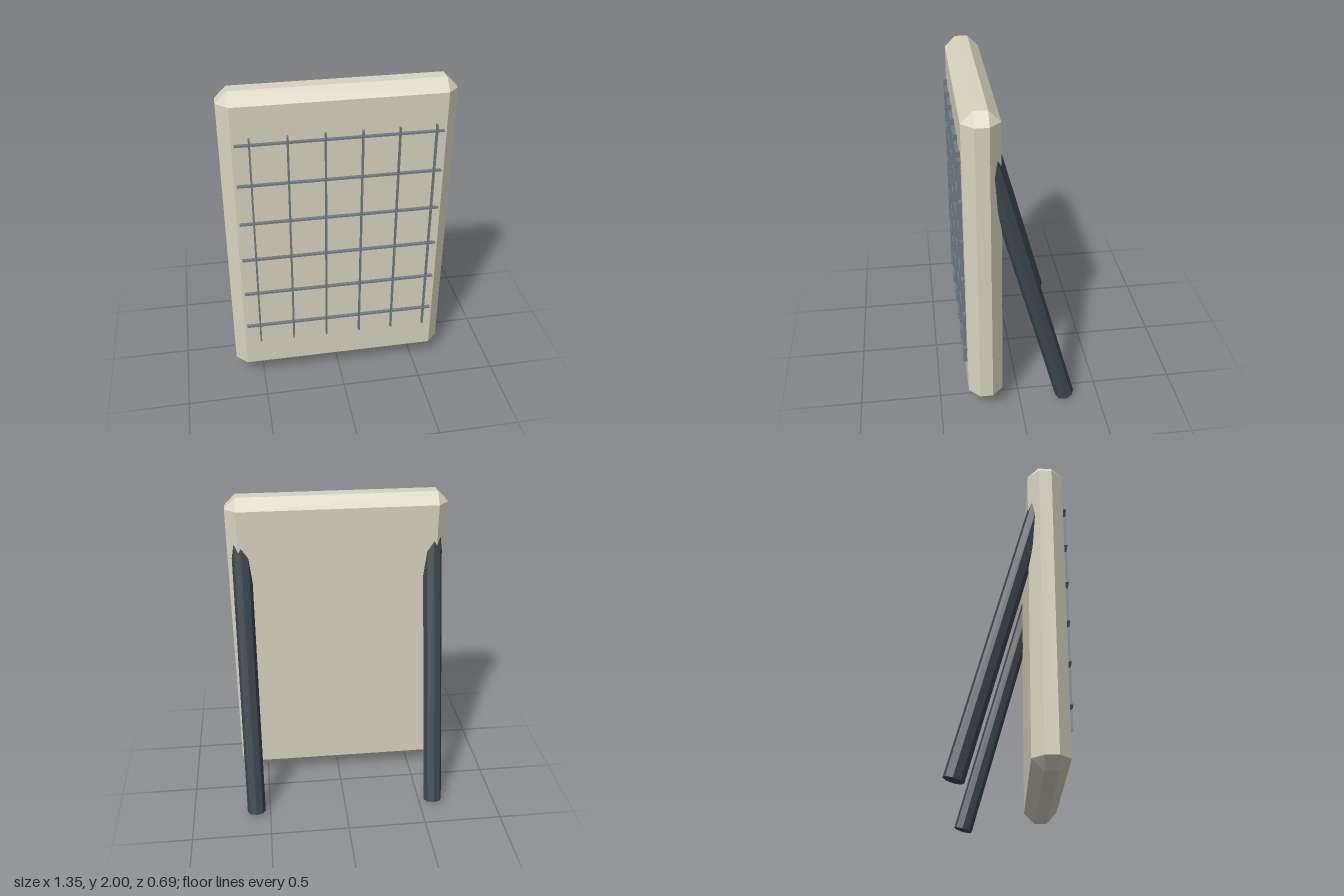
import * as THREE from 'three';
import { ConvexGeometry } from 'three/addons/geometries/ConvexGeometry.js';

function material(name, color) {
  const m = new THREE.MeshStandardMaterial({ color });
  m.name = name;
  return m;
}

// Box with flat chamfers on every edge and triangular corners
function chamferedBox(w, h, d, c) {
  const X = w / 2, Y = h / 2, Z = d / 2, points = [];
  for (const sx of [-1, 1]) for (const sy of [-1, 1]) for (const sz of [-1, 1]) {
    points.push(
      new THREE.Vector3(sx * X, sy * (Y - c), sz * (Z - c)),
      new THREE.Vector3(sx * (X - c), sy * Y, sz * (Z - c)),
      new THREE.Vector3(sx * (X - c), sy * (Y - c), sz * Z));
  }
  return new ConvexGeometry(points);
}

export function createModel() {
  const model = new THREE.Group();
  model.name = 'standingBoard';
  const cream = material('cream', 0xd8d4bf);
  const slate = material('darkSlate', 0x3d474e);
  const steel = material('steelGrey', 0x717c86);

  function add(name, geometry, mat, x, y, z) {
    const mesh = new THREE.Mesh(geometry, mat);
    mesh.name = name;
    mesh.position.set(x, y, z);
    model.add(mesh);
    return mesh;
  }

  // Upright board
  add('board', chamferedBox(1.35, 1.938, 0.212, 0.067), cream, 0, 1.031, 0.218);

  // Two octagonal rear legs, leaning into the board
  const tilt = 0.267, length = 1.86;
  const legGeometry = new THREE.CylinderGeometry(0.059, 0.059, length, 8).toNonIndexed();
  legGeometry.computeVertexNormals();
  for (const side of [-1, 1]) {
    const leg = add(side > 0 ? 'leftLeg' : 'rightLeg', legGeometry, slate, side * 0.59,
      0.016 + Math.cos(tilt) * length / 2, -0.289 + Math.sin(tilt) * length / 2);
    leg.rotation.x = tilt;
  }

  // Grid of thin raised bars on the front
  const upright = new THREE.BoxGeometry(0.01, 1.435, 0.03);
  const crossbar = new THREE.BoxGeometry(1.184, 0.01, 0.03);
  for (let i = 0; i < 6; i++) {
    add('gridUpright', upright, steel, -0.51 + i * 0.2115, 1.032, 0.331);
    add('gridCrossbar', crossbar, steel, -0.001, 0.441 + i * 0.2538, 0.33);
  }
  return model;
}
